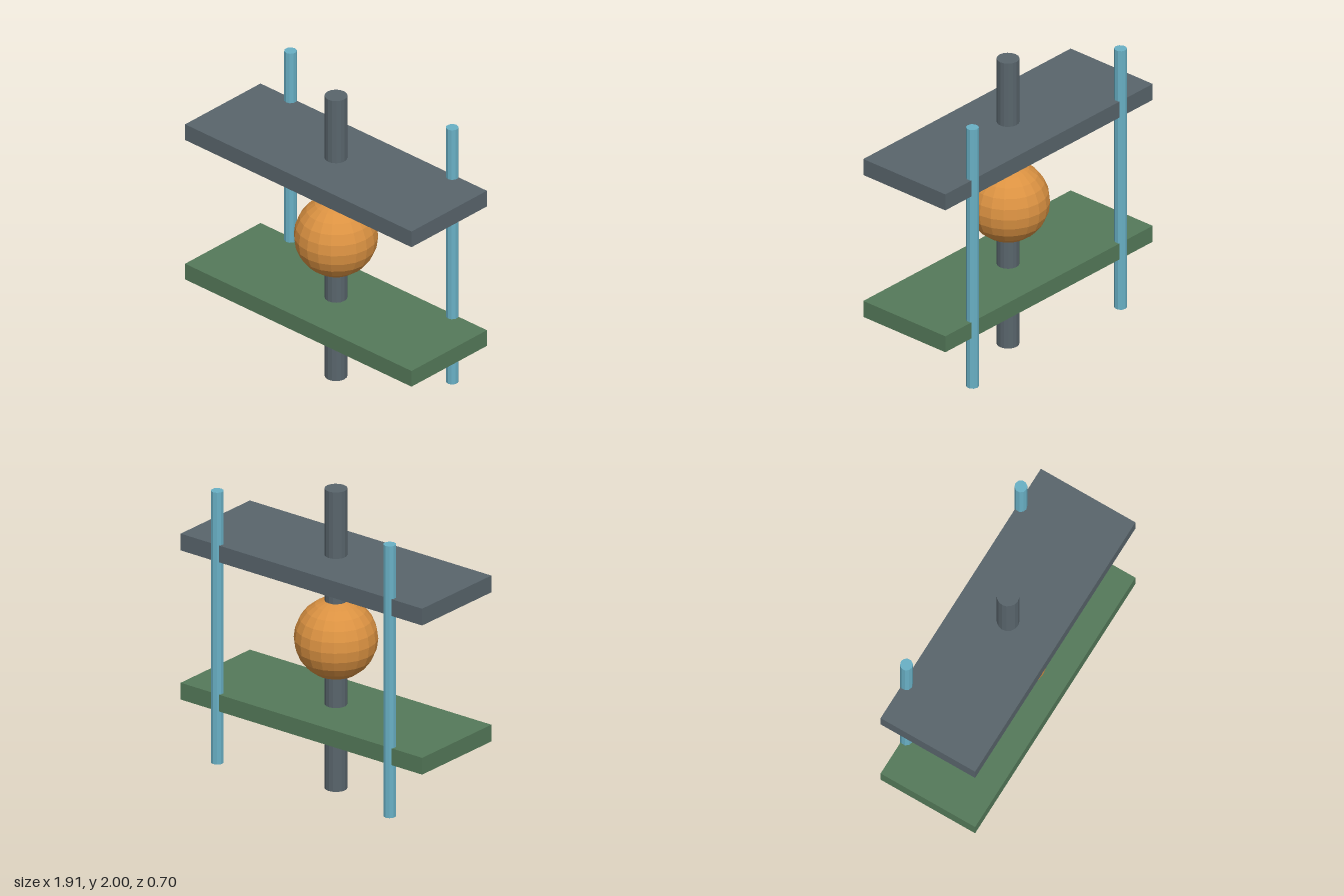
import * as THREE from 'three';

const material = (name, color, flatShading = false) => {
  const m = new THREE.MeshStandardMaterial({ color });
  m.name = name;
  m.flatShading = flatShading;
  return m;
};

export function createModel() {
  const model = new THREE.Group();
  model.name = 'shaftAssembly';

  const slate = material('slate grey', 0x59656c, true);
  const green = material('muted green', 0x557a5a, true);
  const orange = material('warm orange', 0xdb9242, true);
  const blue = material('light blue', 0x69b0c5, true);

  const midY = 1; // height of the ball centre
  const midZ = 0.01; // the rods stick out behind, so the core sits slightly forward

  const add = (name, geometry, mat, x, y, z) => {
    const mesh = new THREE.Mesh(geometry, mat);
    mesh.name = name;
    mesh.position.set(x, y, z);
    model.add(mesh);
  };

  // Central shaft and ball
  add('shaft', new THREE.CylinderGeometry(0.071, 0.071, 2, 16), slate, 0, midY, midZ);
  add('ball', new THREE.SphereGeometry(0.261, 20, 12), orange, 0, midY + 0.002, midZ);

  // Upper and lower plates
  const plate = new THREE.BoxGeometry(1.91, 0.112, 0.68);
  add('upperPlate', plate, slate, 0, 1.5, midZ);
  add('lowerPlate', plate, green, 0, 0.504, midZ);

  // Rods let into the back edges of the plates
  const rod = new THREE.CylinderGeometry(0.04, 0.04, 1.815, 10);
  for (const side of [1, -1]) {
    add(side > 0 ? 'leftRod' : 'rightRod', rod, blue, side * 0.682, midY + 0.002, -0.309);
  }

  return model;
}
